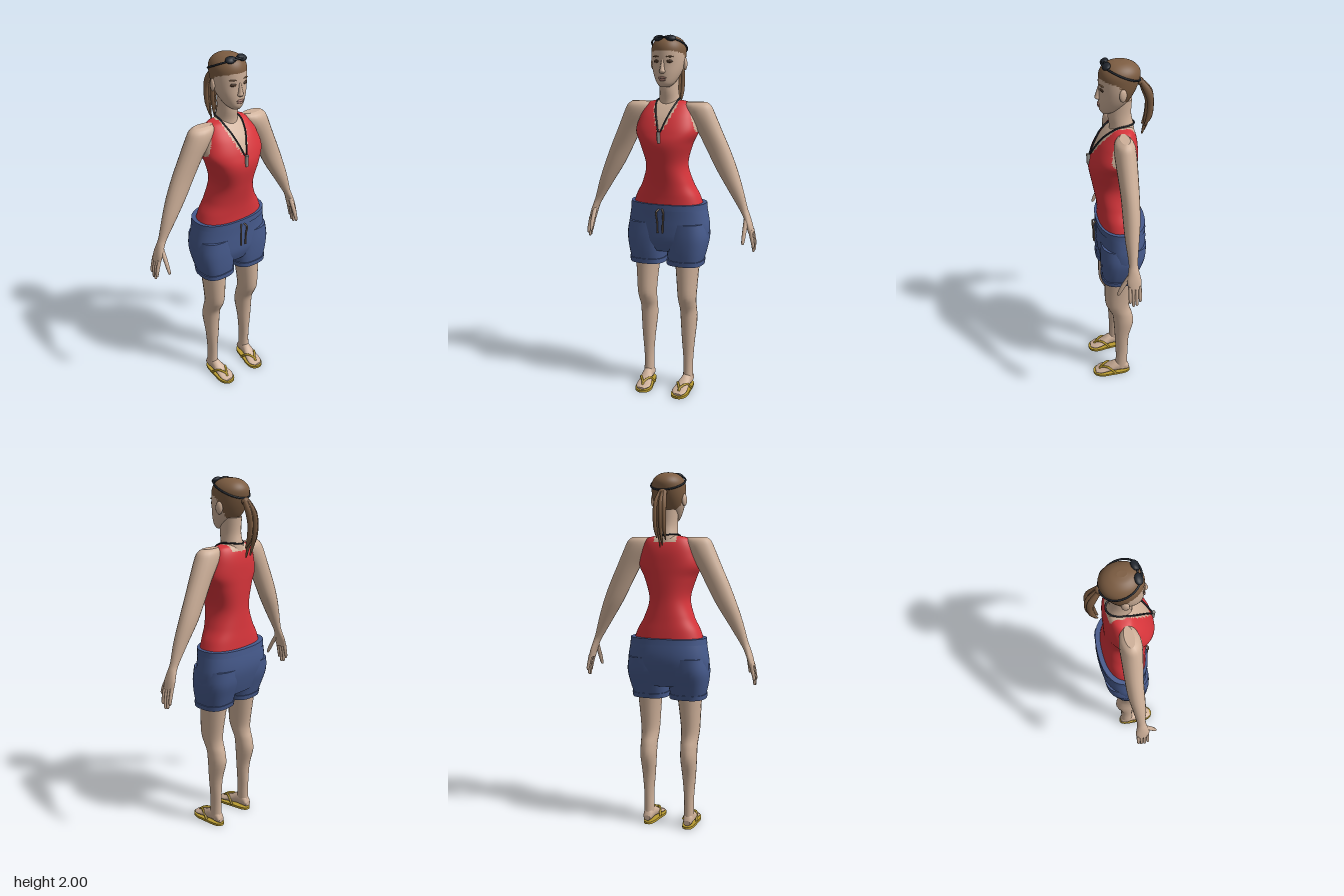
import * as THREE from 'three';

const mat = (name, color) => Object.assign(new THREE.MeshStandardMaterial({ color }), { name });
const M = {
  skin: mat('skin', 0xcfb19a), red: mat('red cloth', 0xd5343a), blue: mat('blue cloth', 0x465a8c),
  hair: mat('brown hair', 0x7d5d42), black: mat('black plastic', 0x20252d), yellow: mat('yellow sandal', 0xb89a30),
  lips: mat('lips', 0xa87c70), eye: mat('dark eye', 0x4a3526), cord: mat('cord', 0x7b6a5c), metal: mat('metal', 0x9a958f),
};

// Smooth value between four neighbours
const spline = (a, b, c, d, t) =>
  0.5 * (2 * b + (c - a) * t + (2 * a - 5 * b + 4 * c - d) * t * t + (3 * b - a - 3 * c + d) * t * t * t);

// Skin over level sections [y, xMin, xMax, zFront, zBack], rising in y.
// p < 1 makes sections squarer; paint(x, y, z) picks the second material group.
function loft(secs, { n = 20, p = 1, sub = 4, paint = null } = {}) {
  const rings = [], last = secs.length - 1;
  for (let i = 0; i < last; i++) {
    const q = [secs[Math.max(i - 1, 0)], secs[i], secs[i + 1], secs[Math.min(i + 2, last)]];
    for (let s = 0; s < sub; s++) rings.push(q[1].map((_, k) => spline(q[0][k], q[1][k], q[2][k], q[3][k], s / sub)));
  }
  rings.push(secs[last]);
  const pos = [], faces = [[], []];
  const pow = v => Math.sign(v) * Math.abs(v) ** p;
  const addRing = ([y, x0, x1, zf, zb]) => {
    for (let i = 0; i < n; i++) {
      const a = (i / n) * Math.PI * 2;
      pos.push((x0 + x1) / 2 + (x1 - x0) / 2 * pow(Math.cos(a)), y, (zf + zb) / 2 + (zf - zb) / 2 * pow(Math.sin(a)));
    }
  };
  const tri = (...v) => {
    const mid = [0, 1, 2].map(k => (pos[v[0] * 3 + k] + pos[v[1] * 3 + k] + pos[v[2] * 3 + k]) / 3);
    faces[paint && paint(...mid) ? 1 : 0].push(...v);
  };
  rings.forEach(addRing);
  for (let r = 0; r < rings.length - 1; r++) for (let i = 0; i < n; i++) {
    const j = (i + 1) % n, a = r * n + i, b = r * n + j;
    tri(a, a + n, b);
    tri(b, a + n, b + n);
  }
  for (const [ring, top] of [[rings[0], false], [rings.at(-1), true]]) {
    const base = pos.length / 3;
    addRing(ring);
    pos.push((ring[1] + ring[2]) / 2, ring[0], (ring[3] + ring[4]) / 2);
    for (let i = 0; i < n; i++) {
      const a = base + i, b = base + (i + 1) % n;
      top ? tri(base + n, b, a) : tri(base + n, a, b);
    }
  }
  const g = new THREE.BufferGeometry();
  g.setAttribute('position', new THREE.Float32BufferAttribute(pos, 3));
  g.setIndex([...faces[0], ...faces[1]]);
  if (paint) {
    g.addGroup(0, faces[0].length, 0);
    g.addGroup(faces[0].length, faces[1].length, 1);
  }
  g.computeVertexNormals();
  return g;
}
const centred = rows => rows.map(([y, w, zf, zb]) => [y, -w, w, zf, zb]);
const sided = (rows, s) => rows.map(([y, a, b, zf, zb]) => s > 0 ? [y, a, b, zf, zb] : [y, -b, -a, zf, zb]);
const tube = (pts, r, closed = false, seg = 20) =>
  new THREE.TubeGeometry(new THREE.CatmullRomCurve3(pts.map(v => new THREE.Vector3(...v)), closed), seg, r, 6, closed);

export function createModel() {
  const model = new THREE.Group();
  model.name = 'swimmer';
  const add = (name, geo, m, parent = model) => {
    const mesh = new THREE.Mesh(geo, m);
    mesh.name = name;
    parent.add(mesh);
    return mesh;
  };
  const blob = (name, m, [x, y, z], [sx, sy, sz], turn = 0) => {
    const b = add(name, new THREE.SphereGeometry(1, 14, 10), m);
    b.position.set(x, y, z);
    b.scale.set(sx, sy, sz);
    b.rotation.y = turn;
    return b;
  };

  // Torso: tank top with bare neckline and armholes
  add('torso', loft(centred([
    [1.09, .2, .116, -.115], [1.15, .178, .116, -.11], [1.22, .14, .122, -.103], [1.32, .112, .14, -.096],
    [1.43, .142, .158, -.097], [1.5, .172, .142, -.097], [1.57, .158, .108, -.094], [1.62, .138, .07, -.084],
    [1.65, .115, .04, -.068], [1.662, .07, .02, -.05]]), {
    n: 72, p: .85, sub: 8,
    paint: (x, y, z) => {
      const ax = Math.abs(x);
      const neck = ax < .064 && y > (z > 0 ? 1.505 + .13 * (ax / .064) ** 1.6 : 1.63);
      return neck || (y > 1.5 && ax > .172 - (y - 1.5) * .36);
    },
  }), [M.red, M.skin]);
  add('neck', loft(centred([[1.6, .07, .05, -.085], [1.66, .056, .047, -.078], [1.72, .05, .055, -.066], [1.8, .053, .05, -.07]])), M.skin);

  // Head with painted hair cap
  const hairline = z => z > .01 ? 1.9 + (z - .01) * .25 : z > -.035 ? 1.9 + (z - .01) * 2.4 : 1.79 + (z + .035) * .6;
  add('head', loft(centred([
    [1.733, .024, .085, .03], [1.755, .048, .097, -.01], [1.8, .072, .1, -.055], [1.85, .087, .098, -.085],
    [1.9, .092, .099, -.104], [1.94, .09, .096, -.109], [1.97, .074, .08, -.092], [1.99, .046, .05, -.06], [1.997, .016, .02, -.025]]), {
    n: 48, sub: 6, paint: (x, y, z) => y > hairline(z),
  }), [M.skin, M.hair]);
  add('nose', loft(centred([[1.803, .01, .103, .08], [1.813, .017, .118, .08], [1.83, .012, .115, .08], [1.875, .007, .1, .08]]), { n: 10 }), M.skin);
  blob('upperLip', M.lips, [0, 1.782, .1], [.023, .006, .006]);
  blob('lowerLip', M.lips, [0, 1.771, .099], [.019, .006, .006]);
  for (const s of [1, -1]) {
    blob('eye', M.eye, [s * .037, 1.866, .089], [.017, .008, .005], s * .35);
    blob('eyebrow', M.hair, [s * .039, 1.89, .0895], [.021, .004, .005], s * .35);
    blob('ear', M.skin, [s * .09, 1.852, -.008], [.011, .033, .02], s * .3);
    blob('goggleLens', M.black, [s * .034, 1.984, .064], [.029, .013, .022]).rotation.set(.5, 0, -s * .15);
  }
  blob('goggleBridge', M.black, [0, 1.989, .066], [.012, .005, .005]);
  const strap = [];
  for (let i = 0; i < 24; i++) {
    const a = i / 24 * Math.PI * 2, z = -.012 + .095 * Math.sin(a);
    strap.push([.093 * Math.cos(a), 1.944 + (z + .012) * .46, z]);
  }
  add('goggleStrap', tube(strap, .005, true, 60), M.black);

  // Ponytail of separate strands
  blob('hairTie', M.hair, [0, 1.885, -.107], [.026, .02, .018]);
  [[-.024, 1.64, 0], [-.008, 1.61, -.008], [.009, 1.6, .006], [.024, 1.65, -.003]].forEach(([x, end, dz]) =>
    add('ponytailStrand', loft([
      [end, x - .003, x + .003, -.122 + dz, -.132 + dz], [1.7, x - .01, x + .01, -.136 + dz, -.166 + dz],
      [1.78, x - .012, x + .012, -.14 + dz, -.173 + dz], [1.84, x * .9 - .012, x * .9 + .012, -.12 + dz, -.162 + dz],
      [1.895, x * .5 - .01, x * .5 + .01, -.095, -.122]], { n: 8 }), M.hair));

  // Neck cord and whistle
  add('neckCord', tube([[0, 1.5, .152], [.024, 1.56, .122], [.044, 1.615, .085], [.058, 1.662, .02], [.04, 1.67, -.06], [0, 1.665, -.082],
    [-.04, 1.67, -.06], [-.058, 1.662, .02], [-.044, 1.615, .085], [-.024, 1.56, .122]], .0045, true, 60), M.black);
  const whistle = add('whistle', new THREE.CylinderGeometry(.01, .008, .06, 10), M.metal);
  whistle.position.set(0, 1.475, .158);

  // Shorts: hips, waistband, drawstring
  add('shortsHips', loft(centred([[.84, .19, .1, -.1], [.9, .228, .119, -.12], [.97, .234, .122, -.138], [1.03, .226, .122, -.142],
    [1.105, .212, .124, -.136]]), { n: 32, p: .85 }), M.blue);
  add('waistband', loft(centred([[1.075, .219, .128, -.142], [1.108, .216, .128, -.14]]), { n: 32, p: .85, sub: 1 }), M.blue);
  for (const s of [1, -1])
    add('drawstring', tube([[s * .008, 1.085, .13], [s * .02, 1.07, .143], [s * .017, 1.02, .14], [s * .014, .955, .14]], .005), M.cord);

  for (const s of [1, -1]) {
    // Shorts leg and cuff
    add('shortsLeg', loft(sided([[.775, .014, .205, .112, -.076], [.84, .004, .222, .118, -.098], [.92, -.004, .233, .12, -.124],
      [1, -.006, .222, .116, -.132]], s), { n: 28, p: .75 }), M.blue);
    add('shortsCuff', loft(sided([[.763, .006, .212, .118, -.08], [.79, .006, .215, .119, -.086]], s), { n: 28, p: .75, sub: 1 }), M.blue);

    // Leg
    add('leg', loft(sided([[.04, .094, .152, .045, -.036], [.1, .094, .15, .038, -.034], [.18, .094, .15, .038, -.036],
      [.3, .084, .16, .043, -.042], [.41, .075, .168, .049, -.068], [.48, .073, .168, .057, -.06], [.53, .07, .17, .08, -.045],
      [.58, .068, .174, .098, -.042], [.68, .06, .18, .101, -.055], [.82, .045, .19, .1, -.075]], s), { n: 18 }), M.skin);

    // Foot, lofted heel to toe and laid down
    add('foot', loft(sided([[-.042, .102, .142, -.02, -.05], [-.02, .094, .15, -.014, -.09], [.035, .09, .15, -.014, -.09],
      [.09, .074, .152, -.014, -.056], [.135, .068, .152, -.014, -.036], [.165, .09, .135, -.014, -.026]], s), { n: 16 }).rotateX(Math.PI / 2), M.skin);

    // Sandal sole and straps
    const sole = new THREE.Shape();
    sole.moveTo(.12, -.05);
    sole.bezierCurveTo(.165, -.05, .152, .03, .16, .1);
    sole.bezierCurveTo(.162, .15, .14, .178, .112, .178);
    sole.bezierCurveTo(.07, .178, .055, .14, .066, .09);
    sole.bezierCurveTo(.085, .03, .075, -.05, .12, -.05);
    const soleMesh = add('sandalSole', new THREE.ExtrudeGeometry(sole, { depth: .014, bevelEnabled: false, curveSegments: 8 })
      .rotateX(Math.PI / 2).translate(0, .014, 0), M.yellow);
    if (s < 0) {
      soleMesh.rotation.z = Math.PI;
      soleMesh.position.y = .014;
    }
    for (const [x, mid] of [[.156, .14], [.07, .088]])
      add('sandalStrap', tube([[s * .112, .016, .142], [s * .112, .042, .133], [s * mid, .056, .09], [s * x, .016, .045]], .007), M.yellow);

    // Arm down to the palm
    add('arm', loft(sided([[.97, .458, .489, .034, -.034], [1.01, .446, .48, .038, -.036], [1.06, .424, .465, .028, -.026],
      [1.1, .4, .45, .024, -.024], [1.2, .336, .422, .033, -.038], [1.3, .272, .388, .036, -.052], [1.4, .218, .348, .038, -.056],
      [1.5, .165, .302, .046, -.058], [1.59, .105, .262, .053, -.058], [1.635, .09, .24, .045, -.05], [1.655, .1, .215, .02, -.03]], s), { n: 18 }), M.skin);

    // Fingers and thumb
    [[.026, .885], [.009, .862], [-.009, .866], [-.026, .89]].forEach(([z, tip]) =>
      add('finger', loft(sided([[tip, .486, .495, z + .004, z - .004], [tip + .012, .484, .5, z + .008, z - .008],
        [.93, .476, .496, z + .009, z - .009], [.985, .461, .484, z + .009, z - .009]], s), { n: 8, sub: 2 }), M.skin));
    add('thumb', loft(sided([[.915, .442, .453, .086, .074], [.93, .439, .457, .086, .064], [.975, .437, .46, .068, .04],
      [1.04, .435, .462, .03, .002]], s), { n: 8, sub: 2 }), M.skin);
  }
  return model;
}
